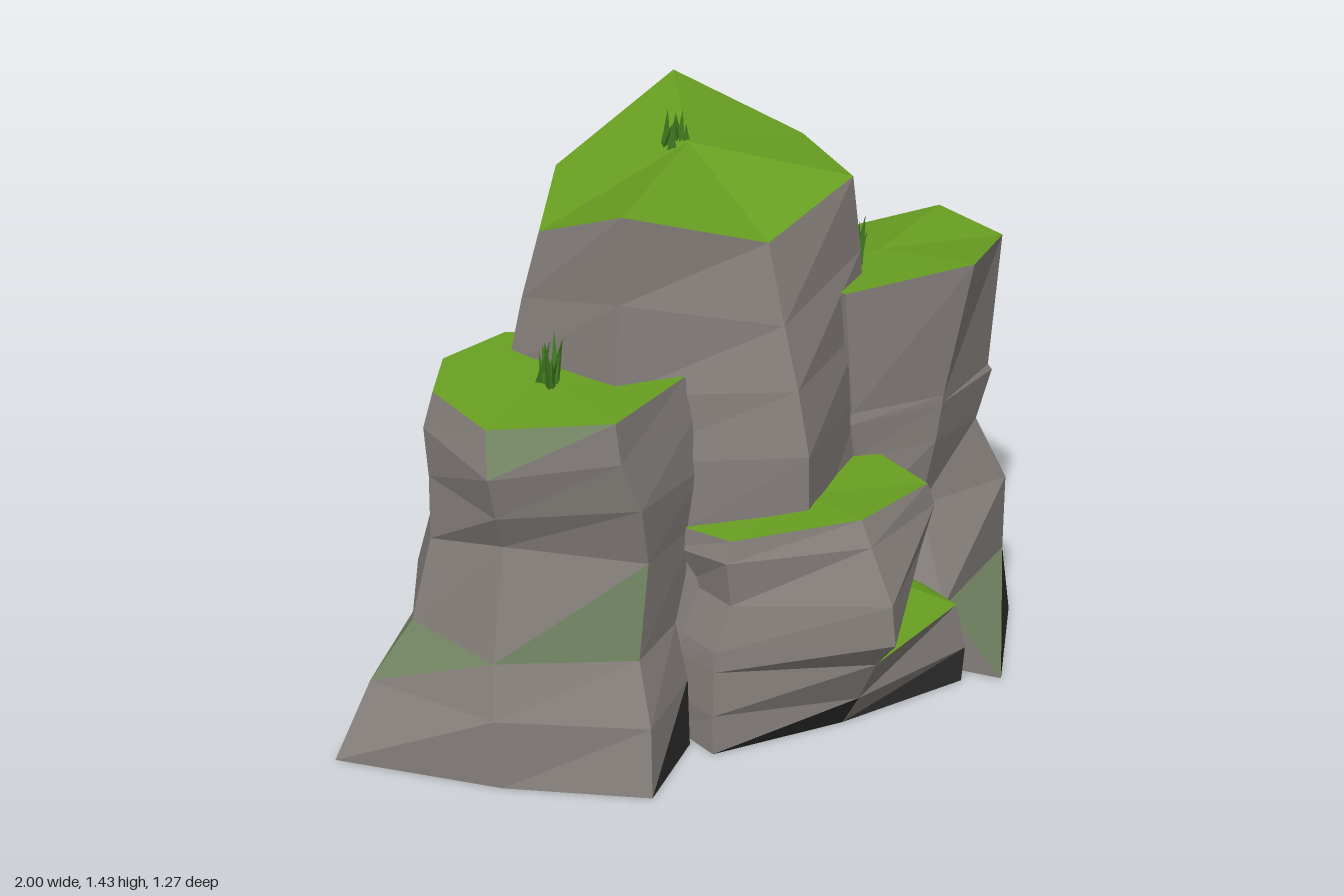
import * as THREE from 'three';

const mat = (name, color) => {
  const m = new THREE.MeshStandardMaterial({ color });
  m.name = name;
  return m;
};

function seeded(seed) {
  return () => {
    seed = (seed * 16807) % 2147483647;
    return seed / 2147483647 - 0.5;
  };
}

// Faceted pillar lofted through foot, middle and top outlines.
// Corners run front, +x, back, -x. Levels are [t, push]: t 0 foot, 1 middle, 2 top;
// push swells the ring outwards. Nudges are [level, corner, dx, dy, dz].
// Paint entries are [level, corner, half, material index].
function pillar(name, mats, o) {
  const n = o.top.length;
  const rand = seeded(o.seed);
  const last = o.levels.length - 1;
  const cx = o.top.reduce((s, p) => s + p[0], 0) / n;
  const cz = o.top.reduce((s, p) => s + p[2], 0) / n;
  const cy = o.peak ?? o.top.reduce((s, p) => s + p[1], 0) / n;
  const rings = o.levels.map(([t, push], l) => o.top.map((p, i) => {
    const foot = new THREE.Vector3(o.foot[i][0], 0, o.foot[i][1]);
    const mid = new THREE.Vector3(o.mid[i][0], o.midY, o.mid[i][1]);
    const v = t < 1 ? foot.lerp(mid, t) : mid.lerp(new THREE.Vector3(...p), t - 1);
    const out = new THREE.Vector3(v.x - cx, 0, v.z - cz).normalize();
    const jut = rand(), rise = rand();
    if (l > 0 && l < last) {
      v.addScaledVector(out, push + jut * o.rough);
      v.y += rise * o.rough;
    }
    return v;
  }));
  for (const [l, i, x, y, z] of o.nudges) rings[l][i].add(new THREE.Vector3(x, y, z));

  const faces = mats.map(() => []);
  const paint = new Map(o.paint.map(([l, i, h, m]) => [`${l}:${i}:${h}`, m]));
  const add = (m, ...pts) => pts.forEach((p) => faces[m].push(p.x, p.y, p.z));
  for (let i = 0; i < n; i++) {
    const j = (i + 1) % n;
    for (let l = 0; l < last; l++) {
      const a = rings[l][i], b = rings[l][j], c = rings[l + 1][j], d = rings[l + 1][i];
      add(paint.get(`${l}:${i}:0`) ?? 0, a, b, c);
      add(paint.get(`${l}:${i}:1`) ?? 0, a, c, d);
    }
    add(1, new THREE.Vector3(cx, cy, cz), rings[last][i], rings[last][j]);
    add(3, new THREE.Vector3(cx, 0, cz), rings[0][j], rings[0][i]);
  }

  const geo = new THREE.BufferGeometry();
  let start = 0;
  faces.forEach((f, m) => {
    geo.addGroup(start, f.length / 3, m);
    start += f.length / 3;
  });
  geo.setAttribute('position', new THREE.Float32BufferAttribute(faces.flat(), 3));
  geo.computeVertexNormals();
  const mesh = new THREE.Mesh(geo, mats);
  mesh.name = name;
  return mesh;
}

// Small fan of pointed blades
function tuft(name, material, x, y, z, height, seed) {
  const g = new THREE.Group();
  const rand = seeded(seed);
  g.name = name;
  for (let i = 0; i < 10; i++) {
    const h = height * (0.8 + rand() * 0.4);
    const geo = new THREE.ConeGeometry(0.014, h, 3).toNonIndexed();
    geo.translate(0, h / 2, 0);
    geo.computeVertexNormals();
    const blade = new THREE.Mesh(geo, material);
    blade.name = 'grassBlade';
    blade.position.set(rand() * 0.06, 0, rand() * 0.06);
    blade.rotation.set(rand() * 0.6, rand() * 6, rand() * 0.6);
    g.add(blade);
  }
  g.position.set(x, y, z);
  return g;
}

export function createModel() {
  const group = new THREE.Group();
  group.name = 'rockFormation';
  const rock = mat('rock', 0x847e7a);
  const grass = mat('grass', 0x69a022);
  const moss = mat('moss', 0x708261);
  const shade = mat('darkStone', 0x2e2d2c);
  const blades = mat('grassBlades', 0x3d741d);
  const mats = [rock, grass, moss, shade];

  // Tall pillar at the back
  group.add(pillar('mainPillar', mats, {
    seed: 71, midY: 0.72, peak: 1.365, rough: 0.03,
    top: [[0.06, 1.215, 0.18], [0.4, 1.27, 0.06], [0.46, 1.28, -0.23], [0.27, 1.4, -0.53],
      [-0.13, 1.25, -0.46], [-0.33, 1.2, -0.22], [-0.3, 1.335, 0.1]],
    mid: [[0.06, 0.36], [0.43, 0.1], [0.5, -0.25], [0.3, -0.55], [-0.17, -0.55], [-0.43, -0.25], [-0.36, 0.13]],
    foot: [[0.06, 0.38], [0.5, 0.15], [0.55, -0.25], [0.32, -0.63], [-0.2, -0.64], [-0.5, -0.3], [-0.45, 0.15]],
    levels: [[0, 0], [0.25, 0], [0.6, -0.01], [1, 0], [1.3, 0], [1.63, 0], [2, 0]],
    nudges: [[4, 3, 0, 0, 0.015], [5, 3, 0, 0, 0.03], [5, 2, 0.02, 0, 0]],
    paint: [],
  }));

  // Left shoulder, with a narrow grassy ledge behind
  group.add(pillar('leftPillar', mats, {
    seed: 29, midY: 0.18, rough: 0.015,
    top: [[0.57, 1.09, 0.33], [0.8, 1.057, 0.16], [0.83, 1.035, -0.13], [0.69, 0.94, -0.33],
      [0.43, 0.94, -0.33], [0.28, 1, -0.05], [0.3, 1.02, 0.17]],
    mid: [[0.49, 0.36], [0.82, 0.195], [0.85, -0.15], [0.67, -0.45], [0.41, -0.45], [0.3, 0], [0.34, 0.2]],
    foot: [[0.58, 0.49], [0.83, 0.22], [1, -0.16], [0.68, -0.47], [0.41, -0.47], [0.32, 0], [0.4, 0.22]],
    levels: [[0, 0], [1, 0], [1.25, -0.01], [1.45, -0.02], [1.58, -0.01], [1.6, -0.015], [2, 0]],
    nudges: [[2, 0, 0, 0, -0.11], [3, 0, 0, 0, -0.075], [4, 0, 0, 0, -0.06], [5, 0, 0, 0, -0.06],
      [2, 1, 0, 0, 0.03], [3, 1, -0.07, 0, 0], [4, 1, -0.02, 0, 0], [5, 1, -0.02, 0, 0],
      [2, 3, 0, 0, -0.02], [2, 4, 0, 0, -0.02], [3, 3, 0, 0, -0.05], [3, 4, 0, 0, -0.05],
      [4, 2, 0, 0.02, 0], [5, 2, 0, 0.02, 0],
      [4, 3, 0, 0.14, -0.06], [4, 4, 0, 0.14, -0.07], [5, 3, -0.01, 0.13, -0.05], [5, 4, 0, 0.14, -0.03]],
    paint: [[4, 3, 0, 1], [4, 3, 1, 1], [5, 2, 0, 2], [3, 1, 1, 2],
      [0, 0, 0, 3], [0, 0, 1, 2], [0, 2, 1, 2]],
  }));

  // Right shoulder
  group.add(pillar('rightPillar', mats, {
    seed: 53, midY: 0.32, rough: 0.025,
    top: [[-0.46, 0.935, 0.31], [-0.18, 0.93, 0.18], [-0.15, 0.92, -0.1], [-0.36, 0.9, -0.34],
      [-0.55, 0.885, -0.32], [-0.66, 0.88, -0.18], [-0.67, 0.885, 0.08]],
    mid: [[-0.42, 0.35], [-0.25, 0.25], [-0.15, -0.1], [-0.28, -0.44], [-0.6, -0.4], [-0.77, -0.13], [-0.72, 0.16]],
    foot: [[-0.46, 0.45], [-0.25, 0.3], [-0.2, -0.1], [-0.25, -0.47], [-0.61, -0.42], [-1, -0.13], [-0.73, 0.21]],
    levels: [[0, 0], [0.55, 0.01], [1, 0], [1.35, -0.03], [1.62, 0], [1.84, 0.005], [2, 0]],
    nudges: [[3, 0, 0.06, 0, 0.01], [4, 0, 0.04, 0, 0], [3, 1, 0.08, 0, 0], [4, 1, 0.08, 0, 0],
      [5, 1, 0.02, 0, 0], [3, 6, 0.02, 0.06, 0], [5, 6, -0.02, 0, 0.05], [4, 6, 0, 0, 0.03]],
    paint: [[2, 6, 0, 2], [5, 6, 1, 2], [1, 5, 1, 2], [1, 4, 0, 2], [5, 4, 0, 2], [0, 0, 0, 3]],
  }));

  // Low bulging step in front, with a grassy lower ledge
  group.add(pillar('frontStep', mats, {
    seed: 17, midY: 0.22, rough: 0.015,
    top: [[0.11, 0.6, 0.5], [0.39, 0.575, 0.4], [0.4, 0.57, 0.15], [0.1, 0.57, 0],
      [-0.22, 0.555, 0.2], [-0.17, 0.565, 0.36]],
    mid: [[0.12, 0.56], [0.48, 0.42], [0.47, 0.2], [0.1, 0], [-0.24, 0.2], [-0.22, 0.36]],
    foot: [[0.12, 0.43], [0.49, 0.44], [0.48, 0.2], [0.1, 0], [-0.24, 0.2], [-0.23, 0.37]],
    levels: [[0, 0], [0.45, 0.01], [1, 0], [1.18, 0], [1.52, 0.01], [1.84, 0.01], [2, 0]],
    nudges: [[3, 0, 0, 0.02, 0.08], [3, 1, -0.09, -0.01, -0.06], [3, 2, -0.08, 0, -0.02],
      [4, 0, 0, 0, 0.08], [4, 1, -0.05, 0, -0.02], [4, 2, -0.05, 0, 0], [5, 1, -0.01, 0, 0],
      [4, 4, 0.05, 0, 0], [4, 5, 0.03, 0, 0], [5, 0, 0, 0, 0.02]],
    paint: [[2, 0, 0, 1], [2, 1, 0, 1], [2, 1, 1, 1], [0, 0, 0, 3], [0, 5, 0, 3]],
  }));

  // Grass tufts on the three tall tops
  group.add(tuft('topTuft', blades, 0.05, 1.345, -0.2, 0.09, 5));
  group.add(tuft('rightTuft', blades, -0.44, 0.91, -0.01, 0.12, 11));
  group.add(tuft('leftTuft', blades, 0.465, 1.01, -0.01, 0.14, 23));
  return group;
}
